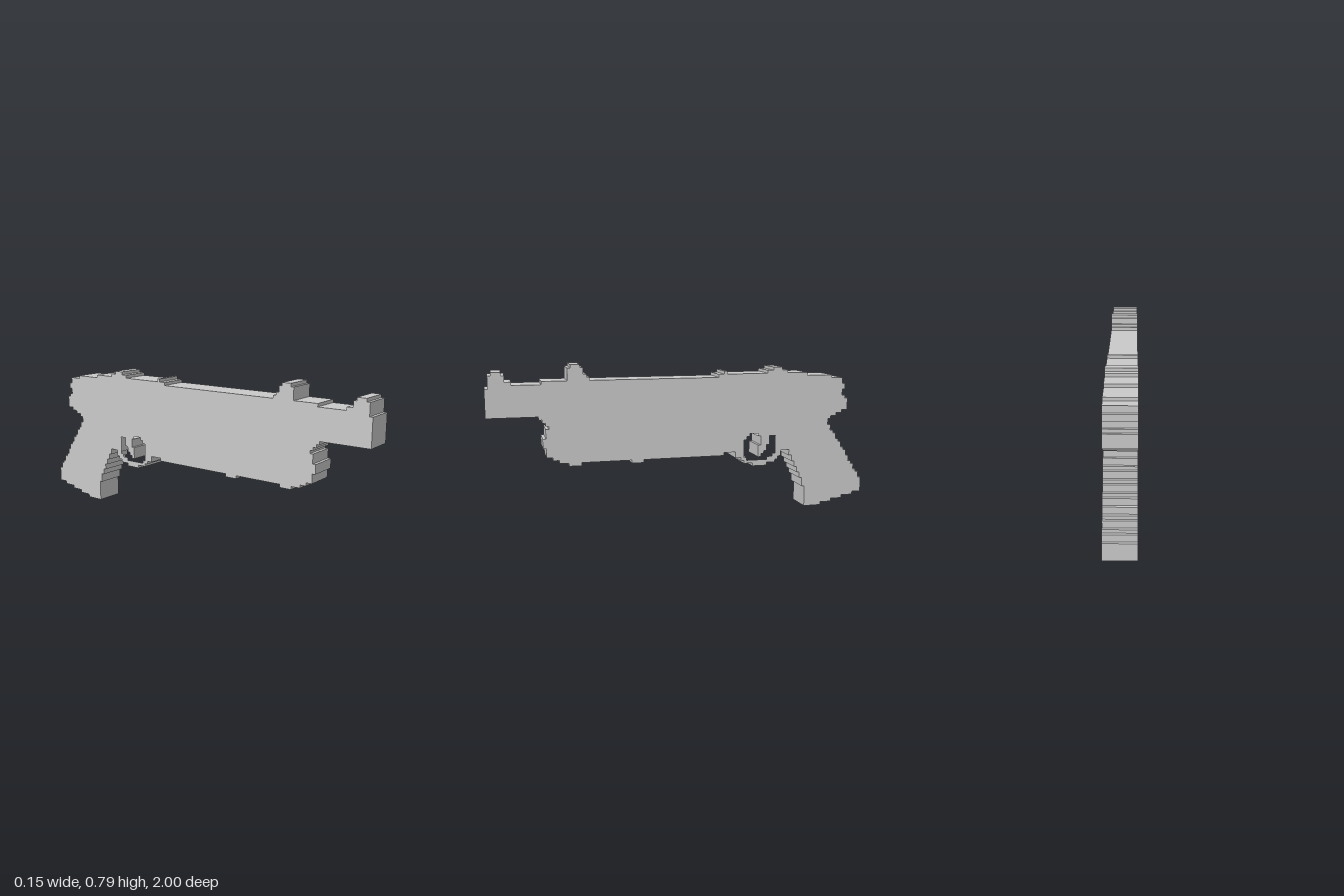
import * as THREE from 'three';

const CELL = 2 / 126; // size of one step of the blocky silhouette
const WIDTH = 0.15;

// Stepped outline from [column, height] pairs: at each column go vertically to
// the height, then across to the next column. Columns count from the front.
function steps(list, Type = THREE.Shape) {
  const points = [];
  let y = list[list.length - 1];
  for (let i = 0; i < list.length; i += 2) {
    const u = list[i] * CELL - 1;
    points.push(new THREE.Vector2(u, y * CELL));
    y = list[i + 1];
    points.push(new THREE.Vector2(u, y * CELL));
  }
  return new Type(points);
}

const material = new THREE.MeshStandardMaterial({ color: 0xcccccc, flatShading: true });

// Extrude a side profile across the full width, front towards +z
function part(name, outline, hole) {
  const shape = steps(outline);
  if (hole) shape.holes.push(steps(hole, THREE.Path));
  const geometry = new THREE.ExtrudeGeometry(shape, { depth: WIDTH, bevelEnabled: false });
  geometry.translate(0, 0, -WIDTH / 2).rotateY(Math.PI / 2);
  const mesh = new THREE.Mesh(geometry, material);
  mesh.name = name;
  return mesh;
}

export function createModel() {
  const group = new THREE.Group();
  group.name = 'blockyPistol';

  // Barrel and slide with front post, sights and stepped rear
  group.add(part('slide', [
    0, 43, 1, 47, 2, 48, 5, 47, 6, 45, 8, 44, 17, 45,
    25, 49, 26, 50, 29, 49, 30, 47, 31, 46, 32, 45,
    74, 46, 76, 47, 77, 46, 91, 47, 93, 48, 96, 47, 98, 46,
    105, 45, 114, 44, 118, 42, 119, 40, 118, 38, 119, 37, 120, 34,
  ]));

  // Frame under the slide, with a notched nose
  group.add(part('frame', [
    16, 34, 76, 19, 49, 18, 45, 19, 29, 18, 25, 19, 22, 20, 20, 21,
    18, 24, 17, 27, 18, 30, 19, 31, 18, 32, 17, 33,
  ]));

  // Trigger guard with its opening
  group.add(part('triggerGuard', [
    76, 34, 99, 20, 96, 18, 95, 17, 94, 16, 91, 15, 86, 16, 83, 17, 82, 18, 80, 20,
  ], [
    83, 24, 84, 25, 85, 26, 88, 25, 94, 19, 93, 18, 91, 17, 84, 18,
  ]));

  // Trigger hanging in the opening
  group.add(part('trigger', [89, 25, 92, 22, 91, 20, 90, 19, 89, 18, 88, 22]));

  // Slanted grip
  group.add(part('grip', [
    99, 34, 120, 33, 118, 32, 116, 31, 114, 30, 113, 28, 114, 26, 115, 25,
    116, 23, 117, 22, 118, 20, 119, 19, 120, 17, 121, 15, 122, 14, 123, 12,
    124, 11, 125, 9, 126, 4, 123, 3, 119, 2, 115, 1, 111, 0,
    105, 7, 104, 10, 103, 12, 102, 14, 101, 16, 100, 18,
  ]));

  return group;
}
